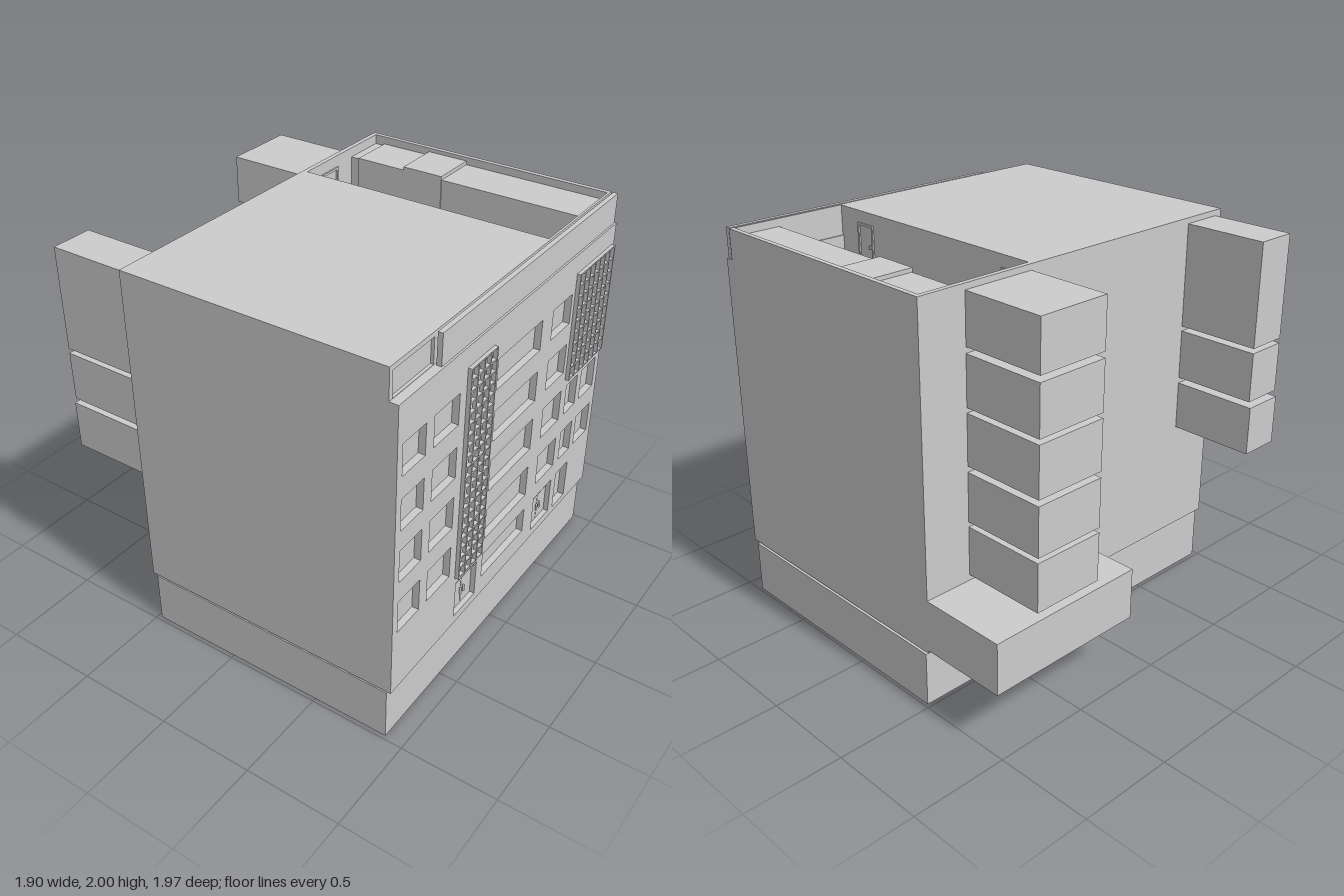
import * as THREE from 'three';

const grey = new THREE.MeshStandardMaterial({ color: 0xcccccc });

// Box given by its min/max on each axis
function block(parent, name, x0, x1, y0, y1, z0, z1) {
  const g = new THREE.BoxGeometry(x1 - x0, y1 - y0, z1 - z0);
  g.translate((x0 + x1) / 2, (y0 + y1) / 2, (z0 + z1) / 2);
  const m = new THREE.Mesh(g, grey);
  m.name = name;
  parent.add(m);
  return m;
}

function group(parent, name) {
  const g = new THREE.Group();
  g.name = name;
  parent.add(g);
  return g;
}

// Wall facing +x with rectangular openings [zMin, zMax, yMin, yMax]
function wallWithOpenings(parent, name, x0, x1, [z0, z1, y0, y1], openings) {
  const rect = (path, a, b, c, d) => {
    path.moveTo(-b, c); path.lineTo(-a, c); path.lineTo(-a, d); path.lineTo(-b, d); path.closePath();
    return path;
  };
  const shape = rect(new THREE.Shape(), z0, z1, y0, y1);
  for (const o of openings) shape.holes.push(rect(new THREE.Path(), ...o));
  const g = new THREE.ExtrudeGeometry(shape, { depth: x1 - x0, bevelEnabled: false });
  g.rotateY(Math.PI / 2);
  g.translate(x0, 0, 0);
  const m = new THREE.Mesh(g, grey);
  m.name = name;
  parent.add(m);
}

// Lattice of bars standing proud of the facade
function lattice(parent, name, z0, z1, y0, y1, columns, rows) {
  const g = group(parent, name);
  const t = 0.008;
  for (let i = 0; i <= columns; i++) {
    const z = z0 + (z1 - z0 - t) * i / columns;
    block(g, 'verticalBar', 0.925, 0.945, y0, y1, z, z + t);
  }
  for (let j = 0; j <= rows; j++) {
    const y = y0 + (y1 - y0 - t) * j / rows;
    block(g, 'horizontalBar', 0.925, 0.943, y, y + t, z0, z1);
  }
}

export function createModel() {
  const model = new THREE.Group();
  model.name = 'apartmentBuilding';

  // Base and thin bearing slab
  block(model, 'base', -0.48, 0.9, 0, 0.28, -0.985, 0.98);
  block(model, 'bearingSlab', -0.36, 0.87, 0.28, 0.286, -0.62, 0.95);

  // Main body up to terrace floor, with penthouse on top
  const floor = 1.72;
  block(model, 'mainBody', -0.5, 0.89, 0.295, floor, -0.985, 0.985);
  block(model, 'facadeLedge', 0.86, 0.89, floor, 1.845, -0.985, 0.985);
  block(model, 'penthouse', -0.5, 0.865, floor, 2, -0.34, 0.985);
  wallWithOpenings(model, 'penthouseSideWall', 0.865, 0.88, [-0.34, 0.985, 1.845, 2],
    [[0.66, 0.96, 1.847, 1.975]]);

  // Street facade with recessed windows and doorways
  const columns = [[0.77, 0.945], [0.505, 0.705], [0.25, 0.43], [-0.24, 0.175],
    [-0.545, -0.35], [-0.73, -0.605], [-0.94, -0.78]];
  const rows = [[0.64, 0.815], [0.925, 1.1], [1.205, 1.37], [1.485, 1.645]];
  const openings = rows.flatMap(r => columns.map(c => [...c, ...r]));
  const doors = [[0.24, 0.435], [-0.545, -0.35]];
  for (const d of doors) openings.push([...d, 0.34, 0.545]);
  openings.push([-0.245, 0.18, 0.405, 0.545], [-0.735, -0.6, 0.33, 0.55]);
  wallWithOpenings(model, 'facade', 0.89, 0.925, [-0.985, 0.985, 0.295, 1.845], openings);

  // Entrance doors with transom and paired handles
  for (const [a, b] of doors) {
    const g = group(model, 'entranceDoor');
    const mid = (a + b) / 2;
    block(g, 'transom', 0.89, 0.912, 0.518, 0.545, a, b);
    for (const s of [-1, 1]) {
      const edge = [mid + s * 0.002, mid + s * 0.095].sort((p, q) => p - q);
      block(g, 'doorLeaf', 0.89, 0.9, 0.342, 0.518, ...edge);
      const handle = new THREE.Mesh(new THREE.CapsuleGeometry(0.006, 0.03, 4, 8), grey);
      handle.name = 'doorHandle';
      handle.position.set(0.908, 0.43, mid + s * 0.015);
      g.add(handle);
    }
  }

  lattice(model, 'stairLattice', 0.225, 0.45, 0.59, 1.74, 4, 20);
  lattice(model, 'cornerLattice', -0.96, -0.575, 1.15, 1.74, 7, 9);

  // Roof parapets around the terrace
  block(model, 'facadeParapet', 0.89, 0.915, 1.845, 2, -0.98, 0.655);
  block(model, 'backParapet', -0.5, 0.88, floor, 2, -0.985, -0.96);
  block(model, 'sideParapet', -0.5, -0.475, floor, 2, -0.96, -0.34);
  block(model, 'sideParapet', 0.868, 0.88, floor, 2, -0.96, -0.34);

  // Storage boxes along the back of the terrace
  block(model, 'terraceBox', -0.42, -0.14, floor, 1.96, -0.96, -0.715);
  block(model, 'terraceBox', -0.14, 0.085, floor, 1.98, -0.96, -0.71);
  block(model, 'terraceBox', 0.085, 0.868, floor, 1.96, -0.96, -0.715);
  block(model, 'terracePier', -0.475, -0.42, floor, 1.95, -0.96, -0.73);

  // Terrace doors
  for (const x of [0.61, -0.43]) {
    const g = group(model, 'terraceDoor');
    block(g, 'doorFrame', x, x + 0.012, floor, 1.94, -0.348, -0.34);
    block(g, 'doorFrame', x + 0.108, x + 0.12, floor, 1.94, -0.348, -0.34);
    block(g, 'doorFrame', x, x + 0.12, 1.928, 1.94, -0.348, -0.34);
    block(g, 'doorHandle', x + 0.02, x + 0.03, 1.82, 1.835, -0.352, -0.34);
  }
  const sideDoor = group(model, 'sideDoor');
  for (const z of [-0.6, -0.48]) block(sideDoor, 'doorFrame', -0.475, -0.467, floor, 1.94, z, z + 0.012);
  block(sideDoor, 'doorFrame', -0.475, -0.467, 1.928, 1.94, -0.6, -0.468);

  // Projecting rooms on the side: five at the back, three at the front
  block(model, 'lowerPlatform', -0.955, -0.5, 0.31, 0.575, -0.985, -0.12);
  const backRooms = [[0.605, 0.855], [0.88, 1.13], [1.16, 1.415], [1.44, 1.69], [1.72, 1.97]];
  for (const r of backRooms) block(model, 'backRoom', -0.94, -0.5, ...r, -0.73, -0.345);
  const frontRooms = [[0.88, 1.13, -0.95], [1.16, 1.415, -0.94], [1.44, 1.97, -0.94]];
  for (const [y0, y1, x] of frontRooms) block(model, 'frontRoom', x, -0.5, y0, y1, 0.73, 0.945);

  return model;
}
